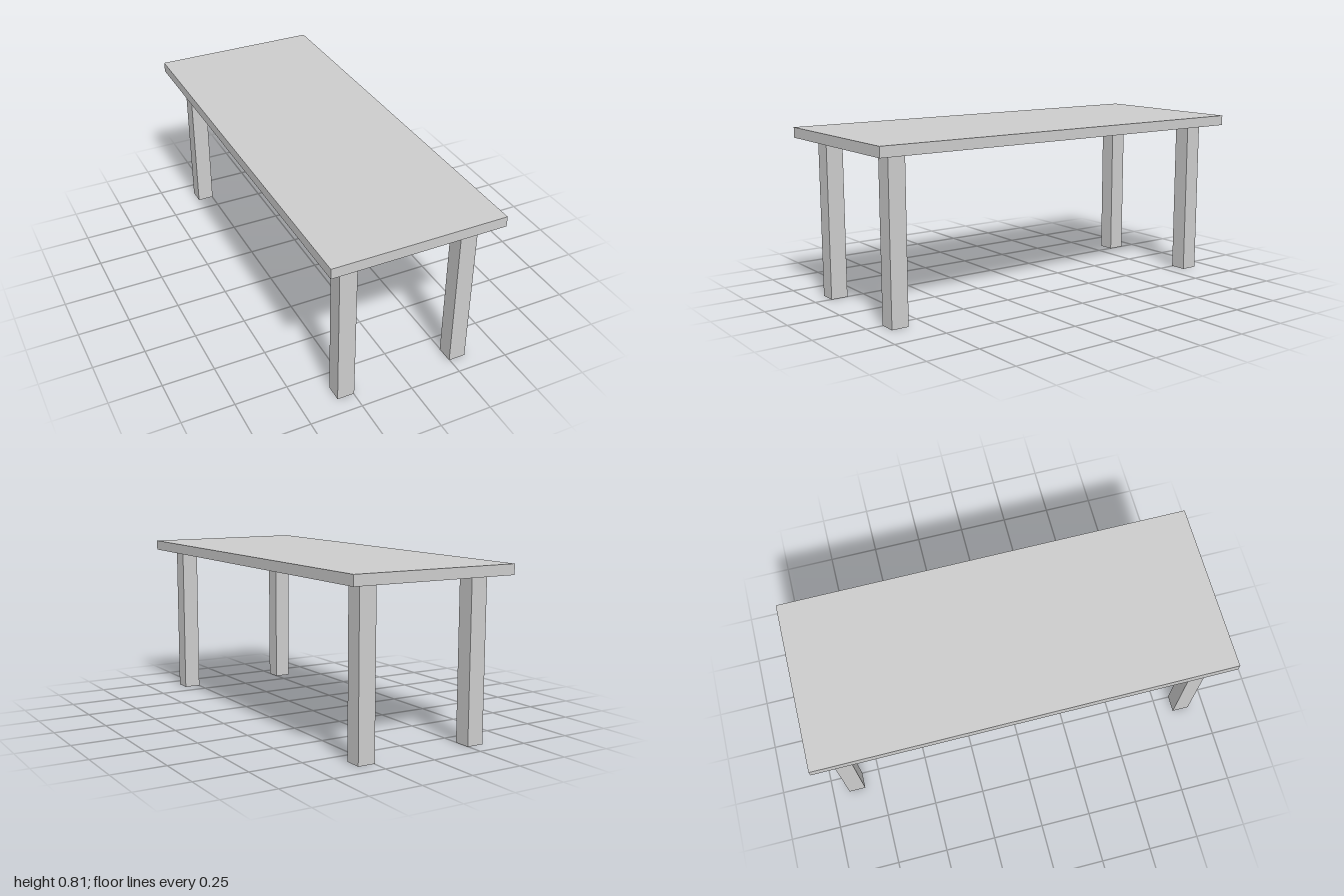
import * as THREE from 'three';

const WIDTH = 0.825, LENGTH = 2, HEIGHT = 0.809, TOP = 0.049;
const LEG = 0.0825, INSET = 0.0825; // leg thickness and distance from the edges

export function createModel() {
  const table = new THREE.Group();
  table.name = 'table';
  const material = new THREE.MeshStandardMaterial({ color: 0xcccccc, flatShading: true });

  const addBox = (name, size, position) => {
    const mesh = new THREE.Mesh(new THREE.BoxGeometry(...size), material);
    mesh.name = name;
    mesh.position.set(...position);
    table.add(mesh);
  };

  // Table top
  addBox('tableTop', [WIDTH, TOP, LENGTH], [0, HEIGHT - TOP / 2, 0]);

  // Four square legs, set in from the corners
  const legHeight = HEIGHT - TOP;
  const legX = WIDTH / 2 - INSET - LEG / 2;
  const legZ = LENGTH / 2 - INSET - LEG / 2;
  for (const [endName, sz] of [['front', 1], ['back', -1]]) {
    for (const [sideName, sx] of [['Left', 1], ['Right', -1]]) {
      addBox(`${endName}${sideName}Leg`, [LEG, legHeight, LEG], [sx * legX, legHeight / 2, sz * legZ]);
    }
  }

  return table;
}
